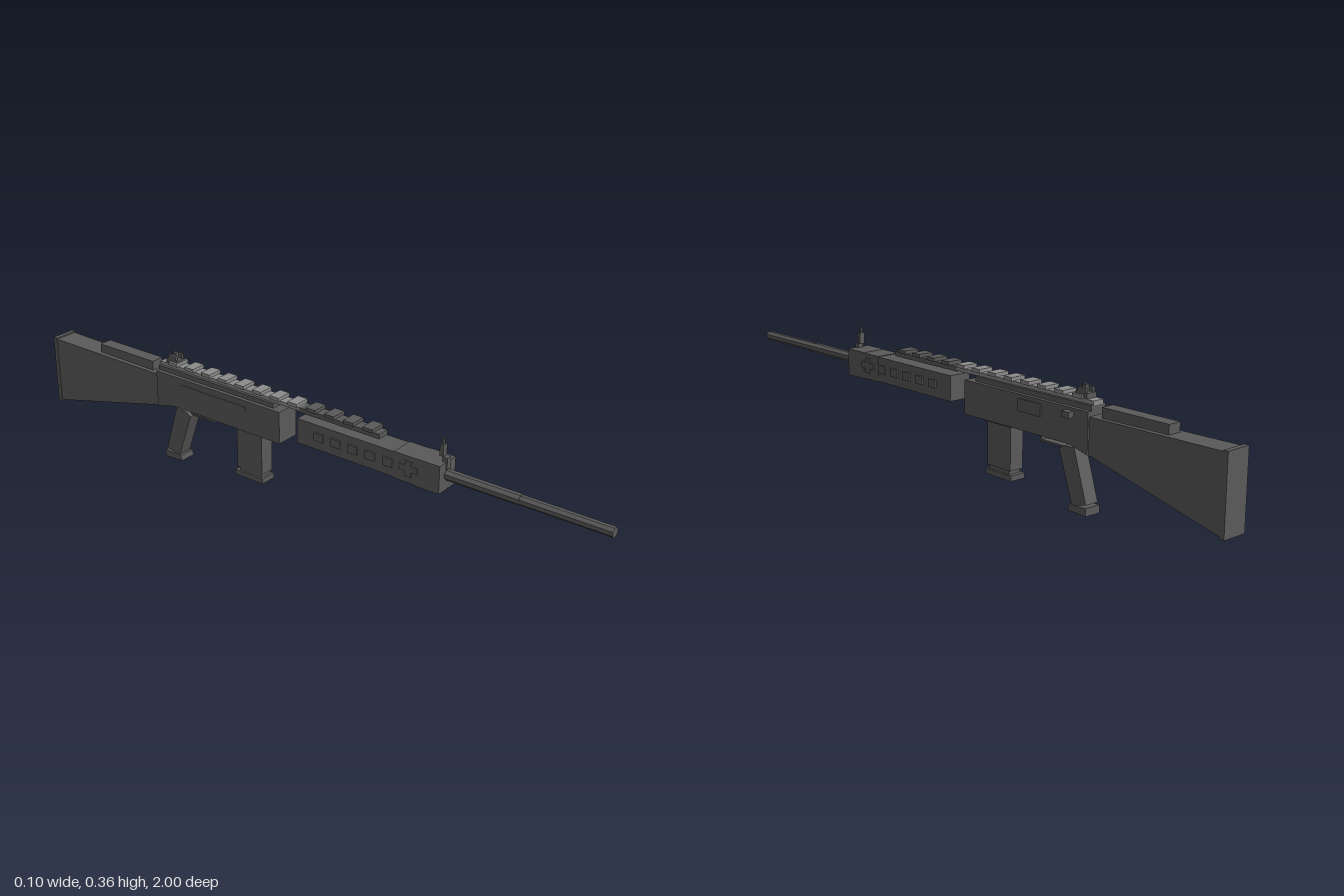
import * as THREE from 'three';

const CX = -0.01; // centre line of the body

export function createModel() {
  const model = new THREE.Group();
  const gunmetal = new THREE.MeshStandardMaterial({ name: 'gunmetal', color: 0x5a5a5a });
  const railGrey = new THREE.MeshStandardMaterial({ name: 'railGrey', color: 0x8c8c8c });

  function add(name, geometry, material = gunmetal) {
    const mesh = new THREE.Mesh(geometry, material);
    mesh.name = name;
    model.add(mesh);
    return mesh;
  }
  // Box given by its limits along x, y and z
  function box(name, x0, x1, y0, y1, z0, z1, material) {
    const g = new THREE.BoxGeometry(x1 - x0, y1 - y0, Math.abs(z1 - z0));
    g.translate((x0 + x1) / 2, (y0 + y1) / 2, (z0 + z1) / 2);
    return add(name, g, material);
  }
  // Box centred on the body, given by its width
  const mid = (name, w, y0, y1, z0, z1, material) =>
    box(name, CX - w / 2, CX + w / 2, y0, y1, z0, z1, material);
  // Side profile of [z, y] points, extruded across the body
  function profile(points, width) {
    const shape = new THREE.Shape(points.map(([z, y]) => new THREE.Vector2(z, y)));
    const g = new THREE.ExtrudeGeometry(shape, { depth: width, bevelEnabled: false });
    return g.translate(0, 0, -width / 2).rotateY(-Math.PI / 2).translate(CX, 0, 0);
  }

  // Barrel, with a slightly thicker rear section
  for (const [name, r, z0, z1] of [['barrel', 0.015, 0.5, 1], ['barrelSleeve', 0.0165, 0.49, 0.73]]) {
    const g = new THREE.CylinderGeometry(r, r, z1 - z0, 8).toNonIndexed();
    g.rotateY(Math.PI / 8).rotateX(Math.PI / 2).translate(CX, 0.258, (z0 + z1) / 2);
    g.computeVertexNormals();
    add(name, g);
  }

  // Handguard with front cap, band and side plates
  mid('handguard', 0.074, 0.217, 0.294, 0.012, 0.44);
  mid('handguardCap', 0.078, 0.213, 0.297, 0.42, 0.5);
  mid('handguardBand', 0.077, 0.215, 0.296, 0.35, 0.42);
  for (const s of [-1, 1]) {
    const plate = (name, y0, y1, z0, z1) => {
      const x = CX + s * 0.039;
      box(name, x - 0.003, x + 0.003, y0, y1, z0, z1);
    };
    for (let i = 0; i < 5; i++) plate('handguardPlate', 0.245, 0.27, 0.075 + i * 0.06, 0.107 + i * 0.06);
    plate('bandPlate', 0.235, 0.282, 0.39, 0.41);
    plate('bandCrossPlate', 0.25, 0.268, 0.37, 0.43);
  }

  // Front sight
  mid('frontSightMount', 0.018, 0.276, 0.311, 0.488, 0.504);
  mid('frontSightBase', 0.018, 0.311, 0.345, 0.478, 0.49);
  mid('frontSightPost', 0.006, 0.345, 0.362, 0.48, 0.487);

  // Top rail: front half dark, rear half light
  mid('railFront', 0.038, 0.305, 0.32, 0.005, 0.287);
  mid('railRear', 0.038, 0.308, 0.32, -0.54, 0.005, railGrey);
  for (let i = 0; i < 12; i++) {
    const z = 0.25 - i * 0.0667;
    mid('railTooth', 0.05, 0.319, 0.33, z - 0.017, z + 0.017, z > 0.02 ? gunmetal : railGrey);
  }

  // Rear sight
  mid('rearSightBase', 0.036, 0.32, 0.335, -0.515, -0.472);
  for (const s of [-1, 1]) {
    const x = CX + s * 0.0135;
    box('rearSightEar', x - 0.0045, x + 0.0045, 0.334, 0.348, -0.508, -0.478);
  }
  mid('rearSightNotch', 0.012, 0.334, 0.355, -0.498, -0.486);

  // Receiver and its top strip
  add('receiver', profile([[-0.053, 0.193], [-0.053, 0.294], [-0.54, 0.294], [-0.54, 0.176], [-0.47, 0.193]], 0.078));
  mid('receiverTop', 0.054, 0.293, 0.309, -0.54, -0.085);
  box('ejectionPort', 0.028, 0.032, 0.246, 0.282, -0.365, -0.275);
  box('sideStrip', -0.052, -0.048, 0.261, 0.274, -0.44, -0.18);
  box('boltHandle', 0.025, 0.049, 0.269, 0.286, -0.488, -0.46);

  // Stock, widening towards the butt
  const stock = profile([[-0.54, 0.176], [-0.54, 0.28], [-0.99, 0.284], [-0.99, 0.067]], 0.076);
  const p = stock.attributes.position;
  for (let i = 0; i < p.count; i++) {
    if (p.getZ(i) > -0.6) p.setX(i, CX + (p.getX(i) - CX) * 0.9);
  }
  stock.computeVertexNormals();
  add('stock', stock);
  mid('buttPad', 0.08, 0.063, 0.288, -1, -0.985);
  mid('cheekRest', 0.042, 0.275, 0.31, -0.8, -0.572);

  // Magazine
  mid('magazineWell', 0.058, 0.187, 0.2, -0.237, -0.125);
  mid('magazine', 0.048, 0.058, 0.19, -0.23, -0.134);
  mid('magazineNeck', 0.042, 0.04, 0.06, -0.222, -0.138);
  mid('magazineBase', 0.054, 0.03, 0.046, -0.236, -0.13);

  // Pistol grip, slanted backwards
  add('grip', profile([[-0.42, 0.166], [-0.437, 0.178], [-0.477, 0.18], [-0.524, 0.03], [-0.472, 0.018]], 0.046));
  add('gripBase', profile([[-0.46, 0.003], [-0.463, 0.02], [-0.528, 0.023], [-0.528, 0]], 0.054));

  // Trigger guard and trigger
  mid('triggerGuardFront', 0.022, 0.168, 0.196, -0.341, -0.335);
  mid('triggerGuardBottom', 0.022, 0.167, 0.173, -0.432, -0.335);

  return model;
}
